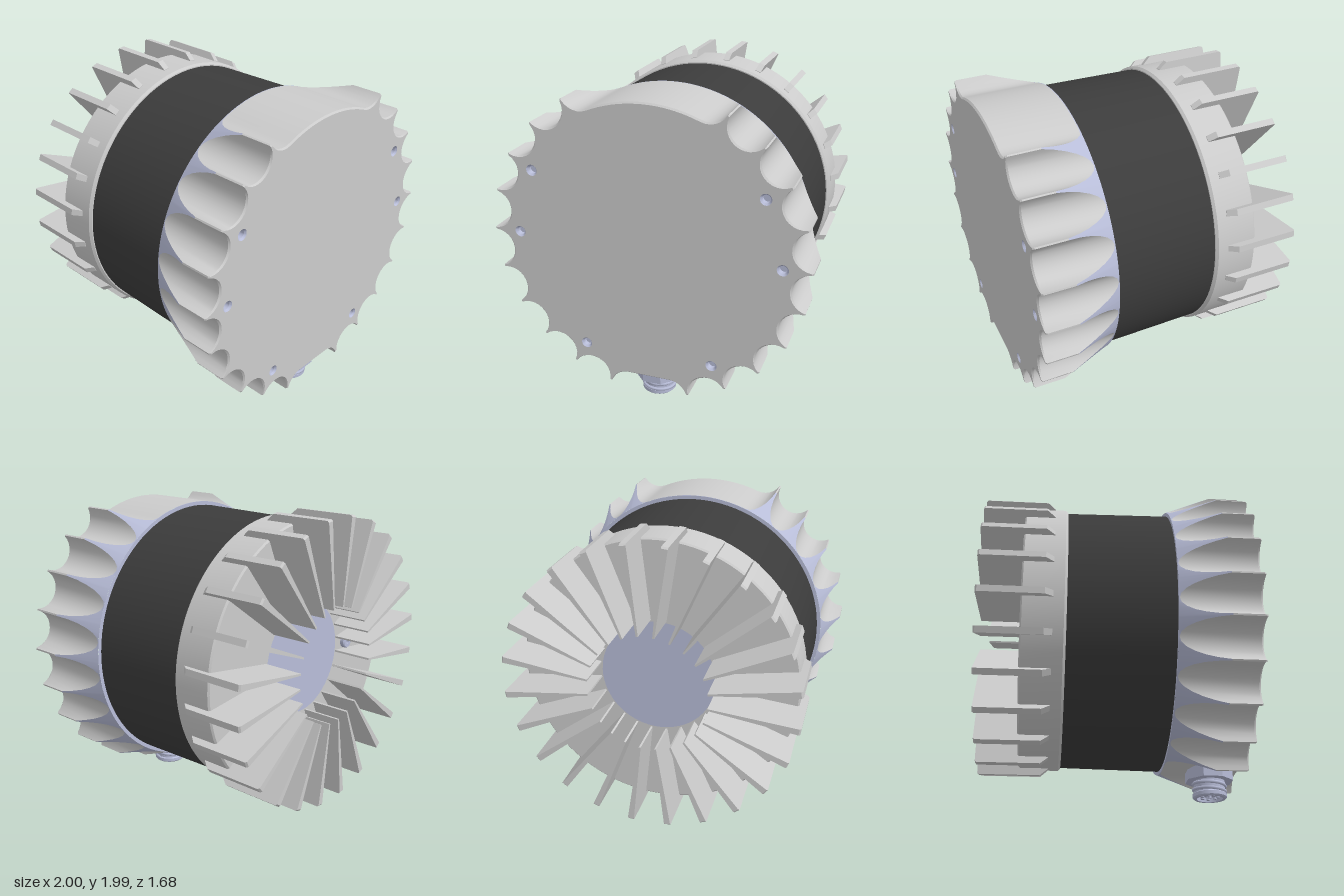
import * as THREE from 'three';
import { toCreasedNormals } from 'three/addons/utils/BufferGeometryUtils.js';

const RAD = Math.PI / 180;
const AXIS_Y = 1.075;
const material = (color, side = THREE.FrontSide) =>
  new THREE.MeshStandardMaterial({ color, side });
const grey = material(0xcccccc);
const blue = material(0xb8bdd8);
const dark = material(0x3c3c3c);
const polar = (r, deg) => new THREE.Vector2(r * Math.cos(deg * RAD), r * Math.sin(deg * RAD));

function add(parent, name, geometry, mat, x = 0, y = 0, z = 0) {
  const mesh = new THREE.Mesh(geometry, mat);
  mesh.name = name;
  mesh.position.set(x, y, z);
  parent.add(mesh);
  return mesh;
}

// Turned part around y, from [radius, height] pairs listed upwards
function turned(points, segments = 96) {
  const profile = points.map(([r, h]) => new THREE.Vector2(r, h));
  return toCreasedNormals(new THREE.LatheGeometry(profile, segments), 0.4);
}
const turnedZ = (points, segments) => turned(points, segments).rotateX(Math.PI / 2);

// Skin between closed rings of points, listed from back to front
function loft(rings) {
  const n = rings[0].length;
  const index = [];
  for (let j = 0; j < rings.length - 1; j++) {
    for (let i = 0; i < n; i++) {
      const a = j * n + i, b = j * n + (i + 1) % n;
      index.push(a, b, b + n, a, b + n, a + n);
    }
  }
  const geometry = new THREE.BufferGeometry();
  geometry.setAttribute('position', new THREE.Float32BufferAttribute(
    rings.flat().flatMap((p) => [p.x, p.y, p.z]), 3));
  geometry.setIndex(index);
  return toCreasedNormals(geometry, 0.5);
}

// Outline of the front housing: scallops every 15 degrees,
// with a wide arc on top and a flat for the connector below
const VALLEY = 0.89;
function housingOutline() {
  const points = [];
  const half = 7.2 * RAD;
  const depth = Math.cos(half) - VALLEY;
  const rho = (Math.sin(half) ** 2 + depth ** 2) / (2 * depth);
  const sweep = Math.acos((rho - depth) / rho);
  const steps = 12;
  for (let k = 0; k < 24; k++) {
    if (k === 5 || k === 6) continue;
    const from = k === 7 || k === 18 ? steps / 2 : 0;
    const to = k === 4 || k === 17 ? steps / 2 : steps;
    for (let i = from; i <= to; i++) {
      const t = (i / steps * 2 - 1) * sweep;
      const p = new THREE.Vector2(VALLEY + rho - rho * Math.cos(t), rho * Math.sin(t));
      points.push(p.rotateAround(new THREE.Vector2(), (7.5 + 15 * k) * RAD));
    }
    if (k === 4) for (let a = 70; a <= 110; a += 2.5) points.push(polar(VALLEY, a));
  }
  return points;
}

function frontHousing() {
  const group = new THREE.Group();
  group.name = 'frontHousing';
  const outline = housingOutline();
  const back = 0.34, front = 0.84, bevel = 0.01;
  const ring = (radius, depth) => outline.map((p) => {
    const r = p.length();
    const q = p.clone().setLength(radius(r));
    return new THREE.Vector3(q.x, q.y, depth(r));
  });
  // The cone runs forward until it meets the scalloped wall
  const meet = (r) => back + 0.005 + Math.max(0, r - VALLEY) / 0.11 * 0.29;
  const coneEnd = ring((r) => r, meet);
  add(group, 'taperedShoulder', loft([ring(() => VALLEY, () => back), coneEnd]), blue);
  add(group, 'scallopedWall', loft([
    coneEnd,
    ring((r) => r, () => front - bevel),
    ring((r) => r - bevel, () => front),
  ]), grey);
  add(group, 'housingBack', new THREE.RingGeometry(0.8, VALLEY, 96).rotateY(Math.PI), blue, 0, 0, back);

  // Front face with six countersunk screw holes
  const face = new THREE.Shape(outline.map((p) => p.clone().setLength(p.length() - bevel)));
  const recess = turnedZ([[0.035, 0], [0.025, -0.012], [0.025, -0.04], [0, -0.04]], 24);
  for (const angle of [0, 30, 150, 180, 240, 300]) {
    const c = polar(0.825, angle);
    face.holes.push(new THREE.Path().absarc(c.x, c.y, 0.035, 0, Math.PI * 2, true));
    add(group, 'screwHole', recess, material(0xb8bdd8, THREE.DoubleSide), c.x, c.y, front);
  }
  add(group, 'frontFace', new THREE.ShapeGeometry(face, 12), grey, 0, 0, front);
  return group;
}

// Radial fin, thinning towards the centre
function finGeometry() {
  const shape = new THREE.Shape([
    [0.37, -0.57], [0.37, -0.84], [0.91, -0.84], [0.92, -0.83], [0.92, -0.44],
    [0.878, -0.39], [0.86, -0.39], [0.86, -0.57],
  ].map(([r, z]) => new THREE.Vector2(r, z)));
  const geometry = new THREE.ExtrudeGeometry(shape, { depth: 1, bevelEnabled: false });
  geometry.translate(0, 0, -0.5).rotateX(Math.PI / 2);
  const pos = geometry.attributes.position;
  for (let i = 0; i < pos.count; i++) {
    const t = (pos.getX(i) - 0.37) / 0.55;
    pos.setY(i, pos.getY(i) * THREE.MathUtils.lerp(0.012, 0.04, t));
  }
  geometry.computeVertexNormals();
  return geometry;
}

function heatSink() {
  const group = new THREE.Group();
  group.name = 'heatSink';
  add(group, 'rearRing', turnedZ([
    [0, -0.58], [0.865, -0.58], [0.875, -0.57], [0.875, -0.325], [0.862, -0.31], [0, -0.31],
  ]), grey);
  add(group, 'centreDisc', new THREE.CircleGeometry(0.36, 64).rotateY(Math.PI), blue, 0, 0, -0.583);
  const fin = finGeometry();
  for (let k = 0; k < 24; k++) {
    add(group, 'fin', fin, grey).rotation.z = (7.5 + 15 * k) * RAD;
  }
  // Two socket screws between the side fins
  const screw = turnedZ([
    [0, -0.592], [0.018, -0.592], [0.018, -0.61], [0.04, -0.61], [0.046, -0.604], [0.046, -0.575],
  ], 24);
  for (const side of [-1, 1]) add(group, 'screw', screw, blue, side * 0.47);
  return group;
}

function connector() {
  const group = new THREE.Group();
  group.name = 'connector';
  group.position.z = 0.64;
  add(group, 'connectorBody', turned([
    [0, 0.03], [0.082, 0.03], [0.082, 0], [0.1, 0], [0.108, 0.008], [0.108, 0.03],
    [0.1, 0.036], [0.1, 0.25],
  ], 48), blue);
  add(group, 'nut', toCreasedNormals(new THREE.CylinderGeometry(0.155, 0.155, 0.065, 8)
    .rotateY(Math.PI / 8), 0.2), blue, 0, 0.143);
  add(group, 'flange', new THREE.CylinderGeometry(0.125, 0.125, 0.04, 48), blue, 0, 0.19);
  // Coarse thread
  const helix = [];
  for (let i = 0; i <= 48; i++) {
    const a = i / 48 * Math.PI * 4;
    helix.push(new THREE.Vector3(0.101 * Math.cos(a), 0.03 + 0.075 * i / 48, 0.101 * Math.sin(a)));
  }
  add(group, 'thread', new THREE.TubeGeometry(new THREE.CatmullRomCurve3(helix), 96, 0.011, 6), blue);
  // Contact pins
  const pin = new THREE.CylinderGeometry(0.012, 0.012, 0.03, 12);
  add(group, 'pin', pin, blue, 0, 0.02);
  for (let k = 0; k < 7; k++) {
    const c = polar(0.052, k * 360 / 7);
    add(group, 'pin', pin, blue, c.x, 0.02, c.y);
  }
  return group;
}

export function createModel() {
  const model = new THREE.Group();
  model.name = 'sensorHousing';
  const drum = new THREE.Group();
  drum.name = 'drum';
  drum.position.y = AXIS_Y;
  drum.add(frontHousing(), heatSink());
  add(drum, 'darkBand', turnedZ([[0.855, -0.315], [0.866, 0.345]]), dark);
  model.add(drum, connector());
  return model;
}
